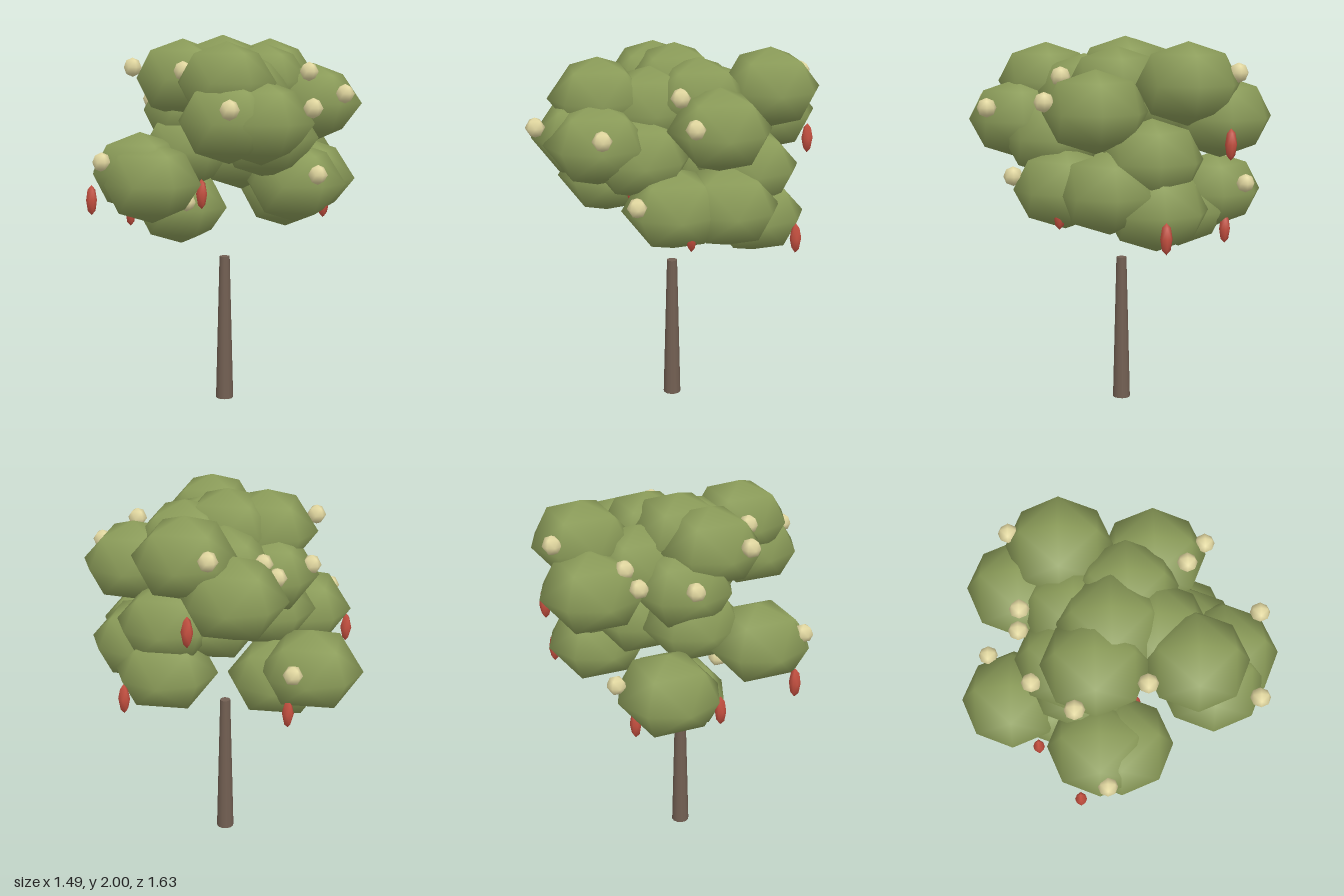
import * as THREE from 'three';

const material = (name, color) => {
  const m = new THREE.MeshStandardMaterial({ color });
  m.name = name;
  return m;
};

// Low-poly ball with smooth normals, stretched in height
const ball = (radius, stretch) => new THREE.OctahedronGeometry(radius, 1).scale(1, stretch, 1);

// Repeats one geometry at a list of positions; an optional fourth value scales it
function scatter(name, geometry, mat, places) {
  const group = new THREE.Group();
  group.name = name + 's';
  for (const [x, y, z, size = 1] of places) {
    const mesh = new THREE.Mesh(geometry, mat);
    mesh.name = name;
    mesh.position.set(x, y, z);
    mesh.scale.setScalar(size);
    group.add(mesh);
  }
  return group;
}

export function createModel() {
  const tree = new THREE.Group();
  tree.name = 'tree';
  const bark = material('bark brown', 0x725f52);
  const leaf = material('leaf green', 0x8b9c59);
  const cream = material('blossom cream', 0xe2d8a0);
  const red = material('fruit red', 0xc65040);

  // Tapered trunk
  const trunk = new THREE.Mesh(new THREE.CylinderGeometry(0.028, 0.048, 0.8, 12), bark);
  trunk.name = 'trunk';
  trunk.position.y = 0.4;
  tree.add(trunk);

  // Flattened leaf clumps
  tree.add(scatter('leafClump', ball(0.268, 0.79), leaf, [
    // crown
    [0, 1.79, -0.02], [-0.2, 1.77, -0.1], [0.21, 1.755, 0.06, 0.96],
    [-0.19, 1.76, 0.385, 0.97], [0.435, 1.775, -0.27], [0, 1.7, 0.2],
    // middle
    [0.435, 1.64, 0.2], [0.29, 1.595, -0.475, 1.01], [-0.22, 1.57, 0.47],
    [-0.075, 1.565, 0.54, 1.01], [0.055, 1.48, 0.37, 1.01], [-0.1, 1.59, -0.235],
    [0.15, 1.66, -0.2], [0.42, 1.39, -0.09], [-0.13, 1.38, -0.18], [0.18, 1.36, -0.14],
    // lower
    [-0.46, 1.28, -0.09], [-0.44, 1.23, 0.02, 1.01], [0.25, 1.23, 0.335],
    [0.44, 1.23, 0.13, 1.01], [0.45, 1.135, -0.11],
    [-0.15, 1.14, -0.545, 1.01], [-0.1, 1.045, -0.34, 1.01],
  ]));

  // Round blossoms
  tree.add(scatter('blossom', ball(0.051, 1), cream, [
    [-0.45, 1.83, -0.2], [-0.32, 1.815, 0.15], [0.31, 1.81, 0.36], [0.47, 1.695, 0.46],
    [-0.34, 1.64, 0.7], [0.11, 1.64, 0.725], [0.22, 1.295, 0.6], [-0.695, 1.345, -0.05],
    [0.475, 1.83, -0.52], [0.075, 1.205, -0.675], [-0.245, 1.65, -0.415],
    [0.03, 1.65, -0.48], [0.11, 1.735, -0.47], [-0.22, 1.11, -0.02],
  ]));

  // Long hanging fruit
  tree.add(scatter('fruit', ball(0.031, 2.6), red, [
    [-0.7, 1.13, -0.19], [-0.38, 1.02, -0.415], [-0.19, 1.165, 0.1], [0.39, 1.12, 0.38],
    [0.71, 1.04, -0.11], [0.56, 1.48, -0.465], [0.02, 0.945, -0.575],
  ]));

  return tree;
}
